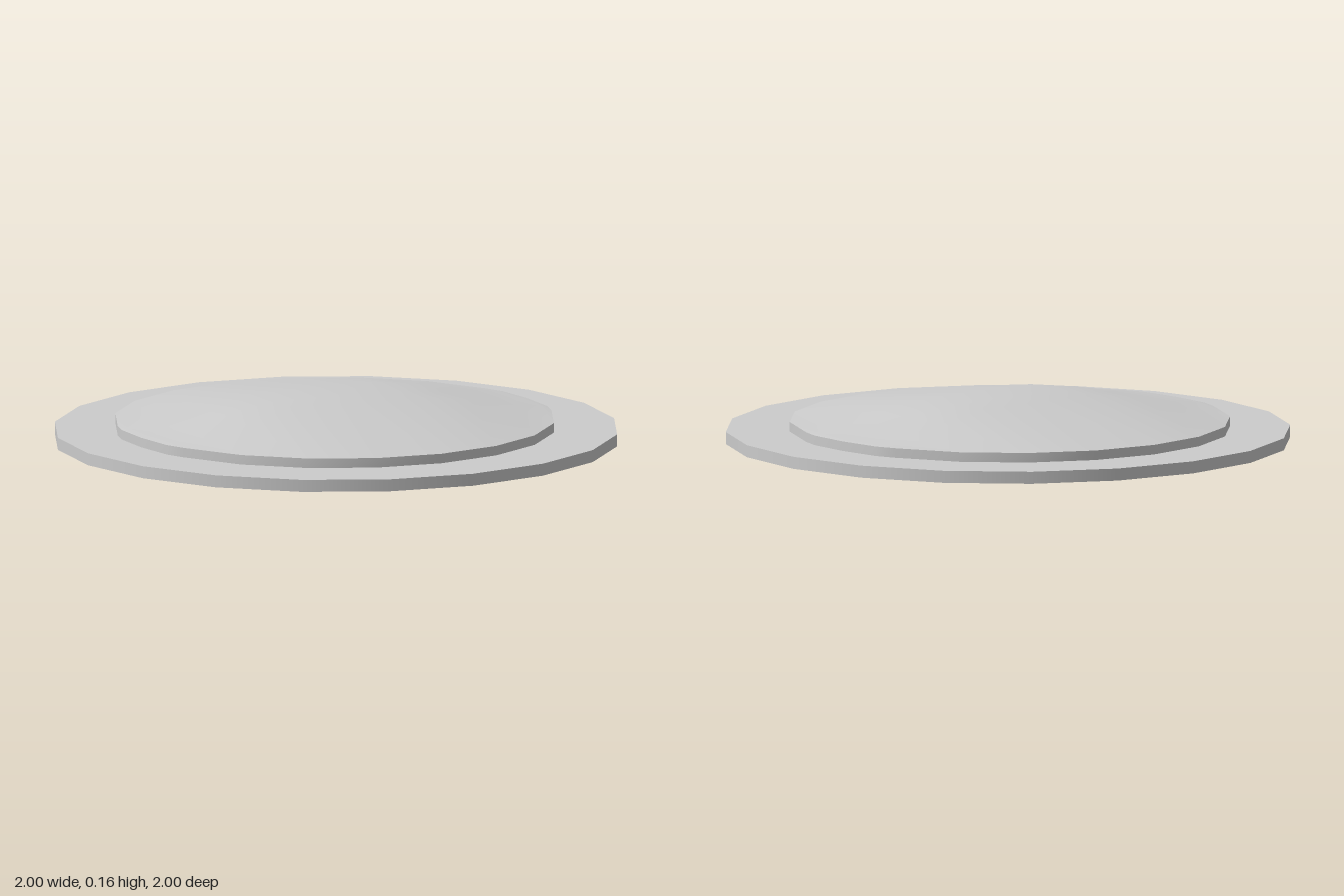
import * as THREE from 'three';
import { mergeVertices } from 'three/addons/utils/BufferGeometryUtils.js';

const SIDES = 20, RIM_TOP = 0.043, LIP = 0.077, R = 0.78, ROW = 0.165;
const STEP = (Math.PI * 2) / SIDES;

// Smooth surface through a grid of points (rows of equal length)
function gridSurface(rows) {
  const n = rows[0].length, index = [];
  for (let i = 0; i < rows.length - 1; i++)
    for (let j = 0; j < n - 1; j++) {
      const a = i * n + j, b = a + n;
      index.push(a, b, b + 1, a, b + 1, a + 1);
    }
  let g = new THREE.BufferGeometry();
  g.setAttribute('position', new THREE.Float32BufferAttribute(rows.flat(2), 3));
  g.setIndex(index);
  g = mergeVertices(g, 1e-4);
  g.computeVertexNormals();
  return g;
}

export function createModel() {
  const model = new THREE.Group();
  const mat = new THREE.MeshStandardMaterial({ color: 0xcccccc, side: THREE.DoubleSide });
  const add = (name, geometry, y = 0, z = 0) => {
    const mesh = new THREE.Mesh(geometry, mat);
    mesh.name = name;
    mesh.position.set(0, y, z);
    model.add(mesh);
  };

  // Wide base plate: open underneath, with a thin skirt
  add('baseSkirt', new THREE.CylinderGeometry(1, 1, RIM_TOP, SIDES, 1, true), RIM_TOP / 2);
  add('basePlate', new THREE.CircleGeometry(1, SIDES).rotateX(-Math.PI / 2), RIM_TOP);

  // Raised lid: columns at the x of each rim corner, with a flat-topped middle band
  const heights = [0.158, 0.158, 0.128, 0.094, 0.082];
  const columns = [];
  for (let k = -5; k <= 5; k++) {
    const s = Math.sign(k), end = Math.abs(k) === 5;
    const a = (end ? 4 * s : k) * STEP;
    const x = R * Math.sin(a), z = R * Math.cos(a);
    const h = end ? LIP : heights[Math.abs(k)];
    const mx = end ? 0.768 * s : x, cx = end ? R * s : x;
    columns.push([[x, LIP, z], [mx, h, ROW], [cx, h, 0], [mx, h, -ROW], [x, LIP, -z]]);
  }
  add('domedLid', gridSurface(columns), 0, -0.01);

  // Wall under the lid, following the lid's outline down to the ground
  const outline = [
    ...columns.slice(1, 10).map((c) => c[0]),
    ...columns[10].slice(1, 4),
    ...columns.slice(1, 10).reverse().map((c) => c[4]),
    ...columns[0].slice(1, 4).reverse(),
  ];
  outline.push(outline[0]);
  const wall = outline.map(([x, , z]) => [[x, 0, z], [x, LIP, z]]);
  add('lidWall', gridSurface(wall), 0, -0.01);

  return model;
}
